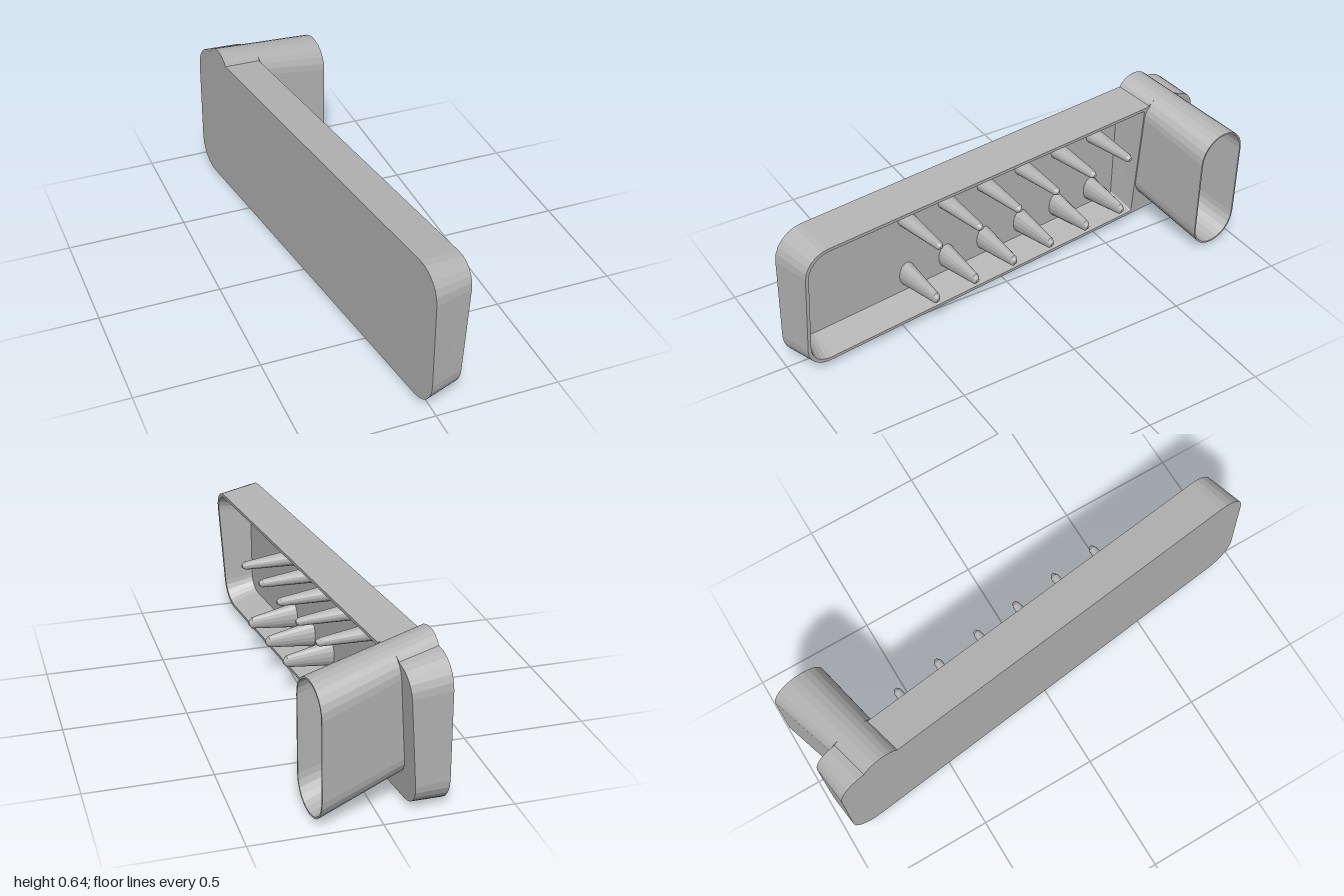
import * as THREE from 'three';

const grey = new THREE.MeshStandardMaterial({ color: 0xb4b4b4, side: THREE.DoubleSide });
grey.name = 'plain grey';

// Counter-clockwise rounded rectangle; r1 rounds the x1 end, r0 the x0 end
function outline(x0, x1, y0, y1, r0, r1 = r0, seg = 6) {
  const corners = [[x1 - r1, y0 + r1, r1, -1], [x1 - r1, y1 - r1, r1, 0], [x0 + r0, y1 - r0, r0, 1], [x0 + r0, y0 + r0, r0, 2]];
  const pts = [];
  for (const [cx, cy, r, q] of corners) {
    for (let i = 0; i <= seg; i++) {
      const a = (q + i / seg) * Math.PI / 2;
      pts.push(new THREE.Vector2(cx + r * Math.cos(a), cy + r * Math.sin(a)));
    }
  }
  return pts;
}

function mesh(geo, name) {
  const flat = geo.index ? geo.toNonIndexed() : geo;
  flat.computeVertexNormals();
  const m = new THREE.Mesh(flat, grey);
  m.name = name;
  return m;
}

// Skin a series of outlines, each with its own height rule
function loft(rings, name) {
  const pos = [], idx = [], n = rings[0].pts.length;
  for (const { pts, z } of rings) for (const p of pts) pos.push(p.x, p.y, z(p.y));
  for (let k = 0; k < rings.length - 1; k++) {
    for (let i = 0; i < n; i++) {
      const j = (i + 1) % n, a = k * n + i, b = k * n + j;
      idx.push(a, b, b + n, a, b + n, a + n);
    }
  }
  const g = new THREE.BufferGeometry();
  g.setAttribute('position', new THREE.Float32BufferAttribute(pos, 3));
  g.setIndex(idx);
  return mesh(g, name);
}

// Filled outline, optionally with holes
function face(pts, z, name, holes = [], flip = false) {
  const s = new THREE.Shape(pts);
  for (const h of holes) s.holes.push(new THREE.Path(h));
  const g = new THREE.ShapeGeometry(s);
  const p = g.attributes.position;
  for (let i = 0; i < p.count; i++) p.setZ(i, z(p.getY(i)));
  if (flip) g.index.array.reverse();
  return mesh(g, name);
}

export function createModel() {
  const model = new THREE.Group();
  model.name = 'pegTray';

  // Local frame: x runs to the back, y up, z out of the tray
  const body = new THREE.Group();
  body.name = 'tiltedBody';
  const along = new THREE.Vector3(-0.122, -0.0125, -0.9925).normalize();
  const out = new THREE.Vector3(0.9925, -0.013, -0.122);
  const up = new THREE.Vector3().crossVectors(out, along).normalize();
  out.crossVectors(along, up);
  const m = new THREE.Matrix4().makeBasis(along, up, out).setPosition(-0.1375, 0.312, 0.014);
  m.decompose(body.position, body.quaternion, body.scale);
  model.add(body);

  const zero = () => 0, floorZ = () => 0.02;
  const rimZ = y => 0.15 + 0.061 * y;

  // Flared rounded tube at the back end; inset gives the inner wall
  const endZ = 0.487;
  const tubeAt = (z, inset = 0) => {
    const t = z / endZ, lerp = THREE.MathUtils.lerp;
    const cx = lerp(0.79, 0.848, t), cy = lerp(0.09, -0.01, t);
    const hw = lerp(0.09, 0.113, t) - inset, hh = lerp(0.2525, 0.272, t) - inset;
    return outline(cx - hw, cx + hw, cy - hh, cy + hh, hw * 0.97);
  };

  // Tray shell with drafted walls and a pocket
  const base = outline(-0.988, 0.988, -0.301, 0.301, 0.12);
  const rim = outline(-0.961, 0.988, -0.279, 0.279, 0.1);
  const pocketRim = outline(-0.947, 0.705, -0.265, 0.265, 0.09, 0.006);
  const pocketFloor = outline(-0.92, 0.685, -0.22, 0.235, 0.07, 0.006);
  body.add(
    face(base, zero, 'trayBack', [], true),
    loft([{ pts: base, z: zero }, { pts: rim, z: rimZ }], 'trayOuterWall'),
    face(rim, rimZ, 'trayRim', [pocketRim, tubeAt(0.15)]),
    loft([{ pts: pocketRim, z: rimZ }, { pts: pocketFloor, z: floorZ }], 'trayInnerWall'),
    face(pocketFloor, floorZ, 'trayFloor'),
  );

  // Tube: outer wall, lip, inner wall and closed end
  const wall = 0.007;
  body.add(
    loft([
      { pts: tubeAt(0), z: zero },
      { pts: tubeAt(endZ), z: () => endZ },
      { pts: tubeAt(endZ, wall), z: () => endZ },
      { pts: tubeAt(0.02, wall), z: floorZ },
    ], 'tubeWall'),
    face(tubeAt(0.02, wall), floorZ, 'tubeFloor'),
    face(tubeAt(0), zero, 'tubeBack', [], true),
  );

  // Two rows of tapered pegs; the lower row is taller in section
  const rows = [
    { name: 'upperPeg', y: 0.13, tip: 0.253, baseY: 0.034, shoulderY: 0.017 },
    { name: 'lowerPeg', y: -0.142, tip: 0.23, baseY: 0.056, shoulderY: 0.025 },
  ];
  for (const row of rows) {
    for (let i = 0; i < 6; i++) {
      const x = -0.415 + i * 0.1945;
      const ring = (rx, ry) => Array.from({ length: 16 }, (_, k) => {
        const a = k * Math.PI / 8;
        return new THREE.Vector2(x + rx * Math.cos(a), row.y + ry * Math.sin(a));
      });
      const tip = ring(0.007, 0.007), tipZ = () => row.tip;
      body.add(
        loft([
          { pts: ring(0.037, row.baseY), z: floorZ },
          { pts: ring(0.016, row.shoulderY), z: () => row.tip - 0.014 },
          { pts: tip, z: tipZ },
        ], row.name),
        face(tip, tipZ, row.name + 'Tip'),
      );
    }
  }
  return model;
}
